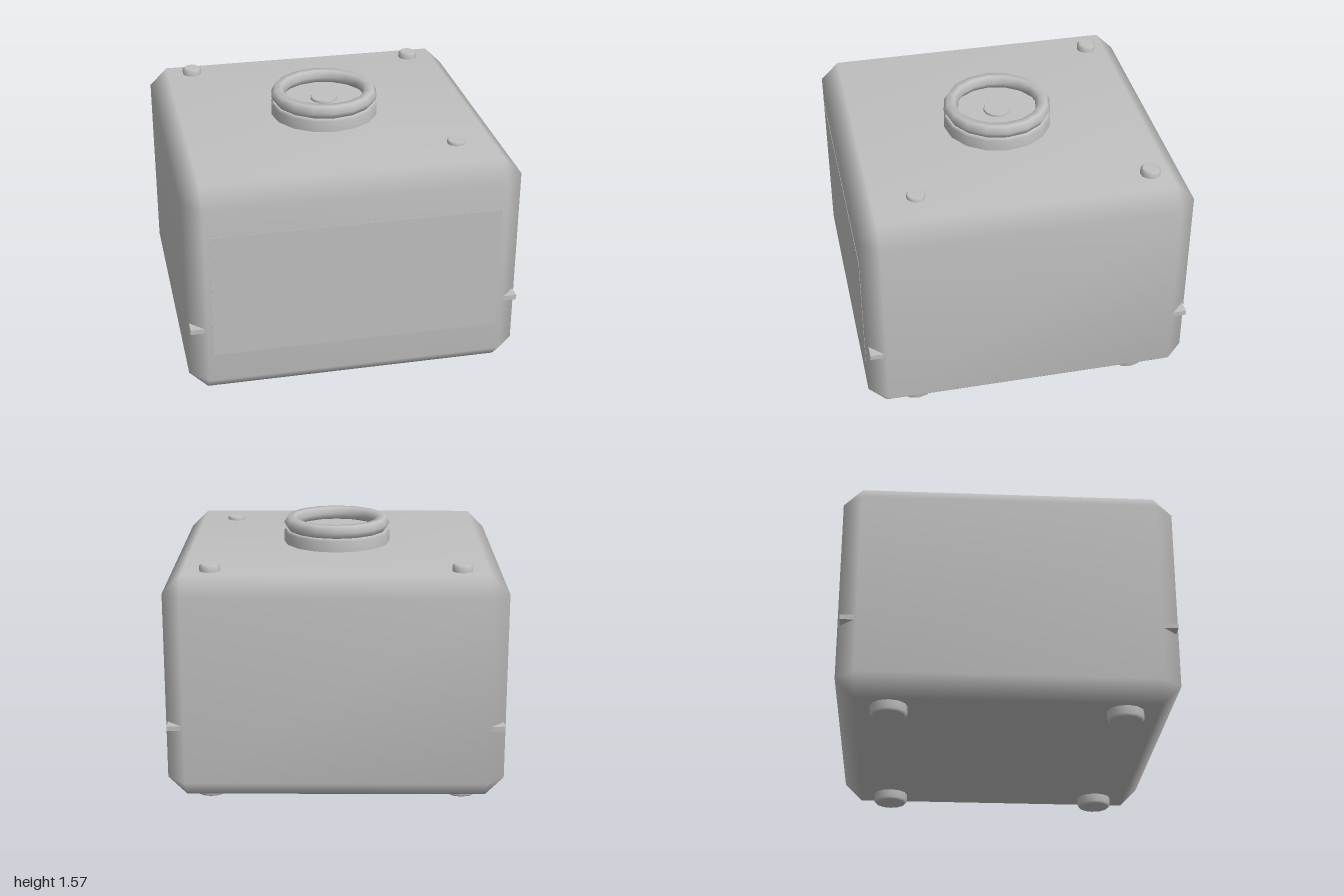
import * as THREE from 'three';
import { mergeVertices } from 'three/addons/utils/BufferGeometryUtils.js';
import { ConvexGeometry } from 'three/addons/geometries/ConvexGeometry.js';

// Box with one smooth-shaded chamfer along every edge
function chamferBox(hx, hy, hz, c) {
  const points = [];
  for (const x of [-1, 1]) for (const y of [-1, 1]) for (const z of [-1, 1]) {
    points.push(new THREE.Vector3(x * hx, y * (hy - c), z * (hz - c)));
    points.push(new THREE.Vector3(x * (hx - c), y * hy, z * (hz - c)));
    points.push(new THREE.Vector3(x * (hx - c), y * (hy - c), z * hz));
  }
  const hull = new ConvexGeometry(points);
  hull.deleteAttribute('normal');
  const geometry = mergeVertices(hull, 1e-4);
  geometry.computeVertexNormals();
  return geometry;
}

// Disc from y = 0 to h, with chamfered rim at top (and closed underneath)
function chamferDisc(r, h, c, sides) {
  const profile = [[0, 0], [r, 0], [r, h - c], [r - c, h], [0, h]];
  const points = [];
  profile.forEach(([x, y], i) => {
    points.push(new THREE.Vector2(x, y));
    if (i === 1 || i === 3) points.push(new THREE.Vector2(x, y)); // sharp edge
  });
  return new THREE.LatheGeometry(points, sides);
}

export function createModel() {
  const model = new THREE.Group();
  const grey = new THREE.MeshStandardMaterial({ color: 0xc0c0c0 });
  grey.name = 'grey';

  const add = (name, geometry, x, y, z) => {
    const mesh = new THREE.Mesh(geometry, grey);
    mesh.name = name;
    mesh.position.set(x, y, z);
    model.add(mesh);
    return mesh;
  };

  // Housing and the thin panel on its front
  add('body', chamferBox(1, 0.675, 0.987, 0.11), 0, 0.735, 0);
  add('frontPanel', new THREE.BoxGeometry(1.72, 0.78, 0.006), 0, 0.74, 0.986);

  // Round port on top: base, ring and central button
  add('portBase', chamferDisc(0.33, 0.085, 0.012, 16), 0, 1.405, 0);
  const ring = new THREE.TorusGeometry(0.285, 0.045, 6, 16);
  ring.rotateX(Math.PI / 2);
  add('portRing', ring, 0, 1.528, 0);
  add('portButton', chamferDisc(0.083, 0.02, 0.004, 12), 0, 1.485, 0);

  // Small knobs on the lid
  for (const side of [-1, 1]) {
    add('rearKnob', chamferDisc(0.06, 0.045, 0.012, 16), side * 0.732, 1.405, -0.762);
  }
  add('frontKnob', chamferDisc(0.055, 0.025, 0.006, 16), 0.675, 1.405, 0.618);

  for (const sx of [-1, 1]) for (const sz of [-1, 1]) {
    // Feet, chamfered towards the floor
    const foot = add('foot', chamferDisc(0.108, 0.07, 0.012, 12), sx * 0.76, 0.07, sz * 0.68);
    foot.rotation.x = Math.PI;
    // Tabs poking out of the chamfered corners
    add('cornerTab', new THREE.BoxGeometry(0.12, 0.03, 0.12), sx * 0.928, 0.51, sz * 0.911);
  }

  return model;
}
